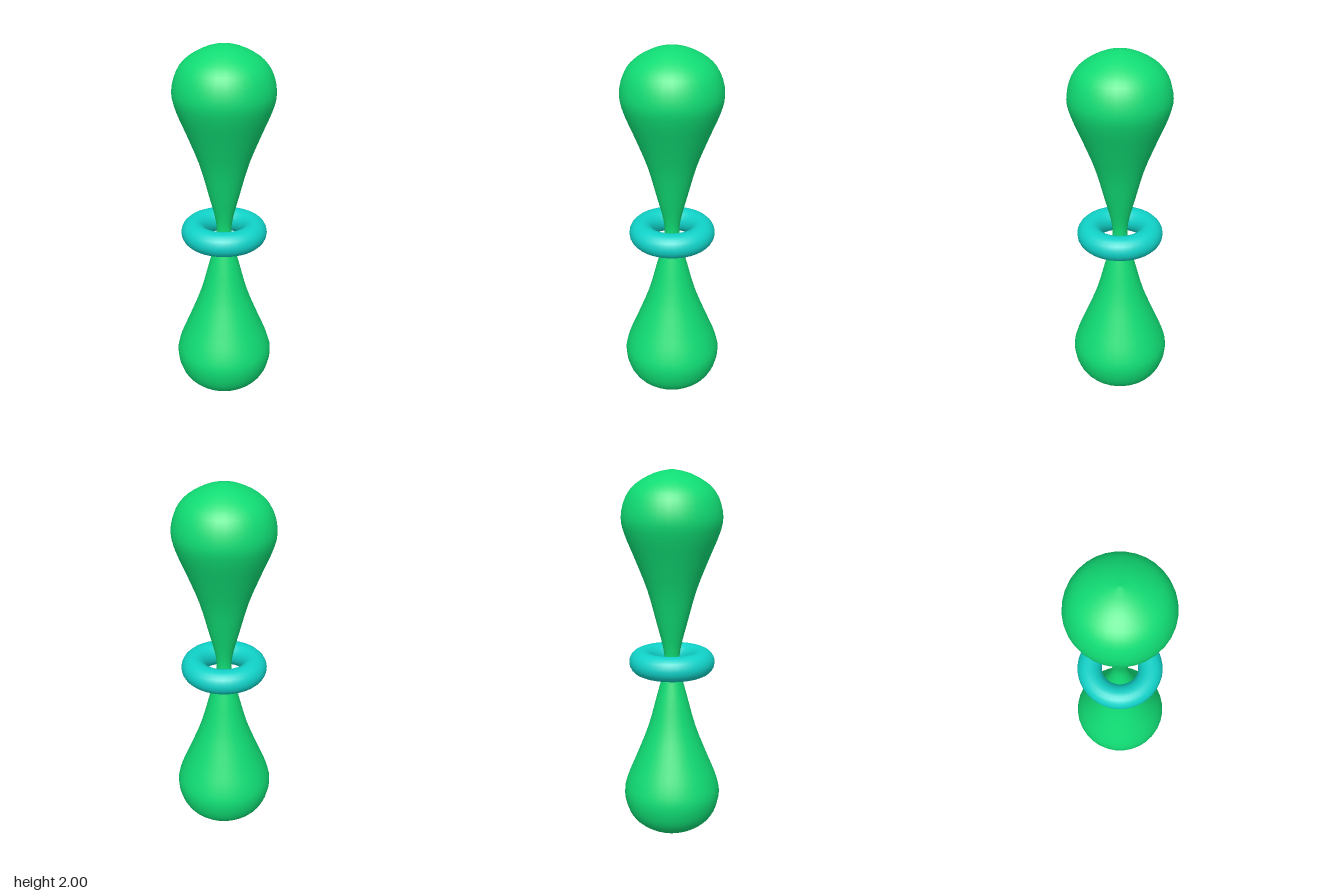
import * as THREE from 'three';

const green = new THREE.MeshStandardMaterial({ color: 0x10dc74 });
const teal = new THREE.MeshStandardMaterial({ color: 0x10d2c8 });

// Half profile of one bulb: [radius, height above the waist], waist to tip
const BULB = [
  [0.04, 0], [0.05, 0.08], [0.081, 0.2], [0.13, 0.38], [0.196, 0.55],
  [0.245, 0.67], [0.264, 0.76], [0.24, 0.86], [0.185, 0.928], [0.09, 0.98], [0, 1],
];

export function createModel() {
  const group = new THREE.Group();

  // Double-bulb body: the bulb profile mirrored about the waist, turned smooth
  const below = BULB.slice(1).reverse().map(([r, h]) => new THREE.Vector2(r, 1 - h));
  const above = BULB.map(([r, h]) => new THREE.Vector2(r, 1 + h));
  const profile = new THREE.SplineCurve([...below, ...above]).getPoints(60);
  profile.forEach((p) => { p.x = Math.max(p.x, 0); });
  const body = new THREE.Mesh(new THREE.LatheGeometry(profile, 32), green);
  body.name = 'doubleBulbBody';
  group.add(body);

  // Ring floating around the waist
  const ring = new THREE.Mesh(new THREE.TorusGeometry(0.164, 0.066, 20, 40), teal);
  ring.name = 'waistRing';
  ring.rotation.x = Math.PI / 2;
  ring.position.y = 0.99;
  group.add(ring);

  return group;
}
